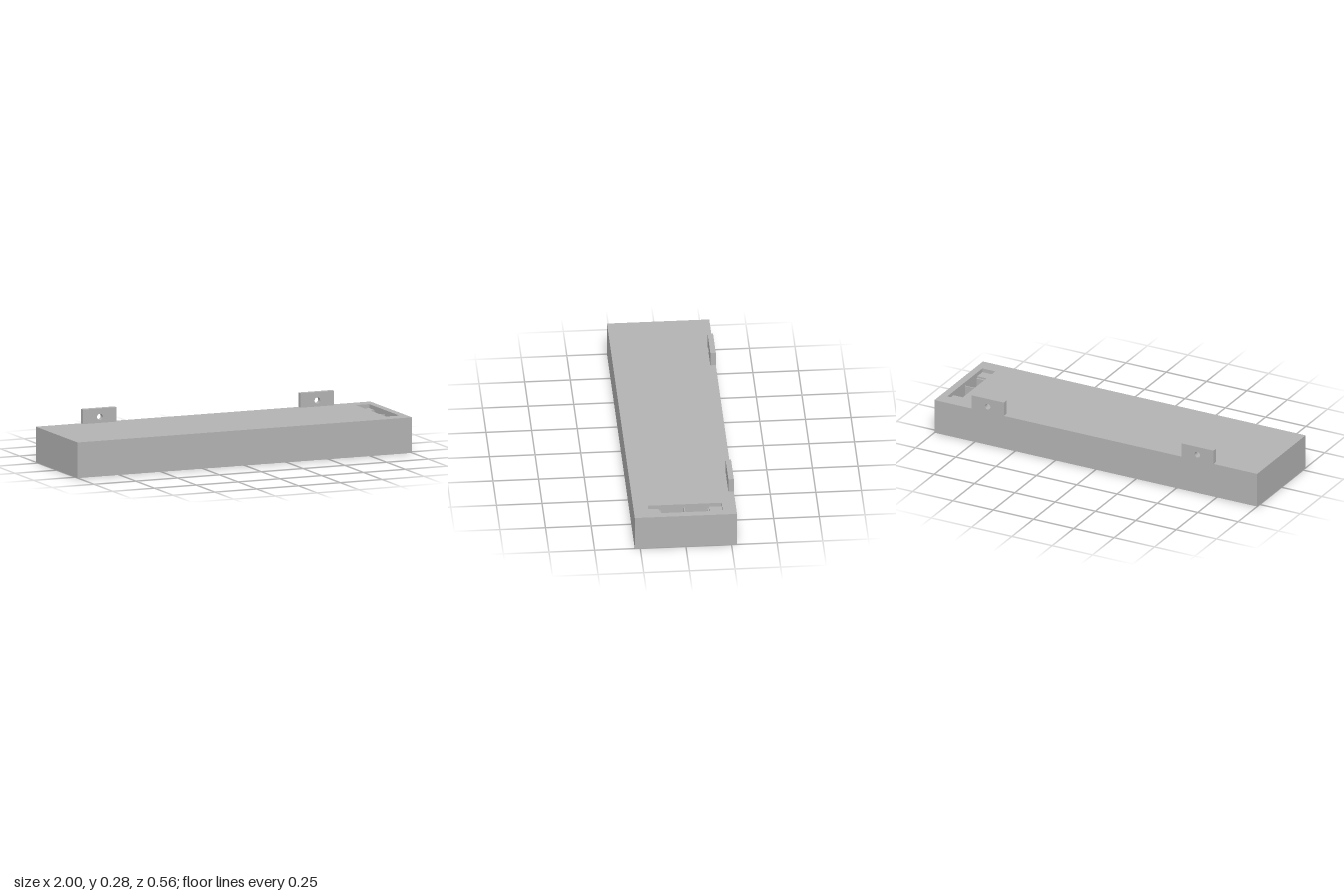
import * as THREE from 'three';

const grey = new THREE.MeshStandardMaterial({ color: 0xb2b2b2 });
grey.name = 'plain grey';

const SLOT_X0 = 0.88, SLOT_X1 = 0.96;

// Trace a rectangle into a shape or a hole
function rect(path, x0, y0, x1, y1) {
  path.moveTo(x0, y0);
  path.lineTo(x1, y0);
  path.lineTo(x1, y1);
  path.lineTo(x0, y1);
  path.closePath();
  return path;
}

// Horizontal slab of the body, pierced by openings given as [zMin, zMax]
function slab(name, y0, y1, openings) {
  const shape = rect(new THREE.Shape(), -1, -0.28, 1, 0.28);
  for (const [z0, z1] of openings) {
    shape.holes.push(rect(new THREE.Path(), SLOT_X0, -z1, SLOT_X1, -z0));
  }
  const geo = new THREE.ExtrudeGeometry(shape, { depth: y1 - y0, bevelEnabled: false });
  geo.rotateX(-Math.PI / 2);
  geo.translate(0, y0, 0);
  const mesh = new THREE.Mesh(geo, grey);
  mesh.name = name;
  return mesh;
}

// Upright mounting tab with a round screw hole
function mountingTab(name, x) {
  const shape = rect(new THREE.Shape(), -0.1, 0.197, 0.1, 0.277);
  const hole = new THREE.Path();
  hole.absarc(0, 0.23, 0.017, 0, Math.PI * 2, true);
  shape.holes.push(hole);
  const geo = new THREE.ExtrudeGeometry(shape, { depth: 0.03, bevelEnabled: false, curveSegments: 24 });
  const mesh = new THREE.Mesh(geo, grey);
  mesh.position.set(x, 0, -0.28);
  mesh.name = name;
  return mesh;
}

export function createModel() {
  const model = new THREE.Group();
  model.name = 'mountingBlock';

  // Body: solid base, two pockets with a thin divider, and a shallow slot above them
  const body = new THREE.Group();
  body.name = 'body';
  body.add(
    slab('base', 0, 0.1, []),
    slab('pocketLayer', 0.1, 0.165, [[-0.125, -0.003], [0.003, 0.13]]),
    slab('pocketRim', 0.165, 0.175, [[-0.135, -0.003], [0.003, 0.14]]),
    slab('slotLayer', 0.175, 0.197, [[-0.205, 0.2]]),
  );
  model.add(body);

  // Tabs along the back edge
  model.add(mountingTab('rightTab', -0.63), mountingTab('leftTab', 0.67));
  return model;
}
